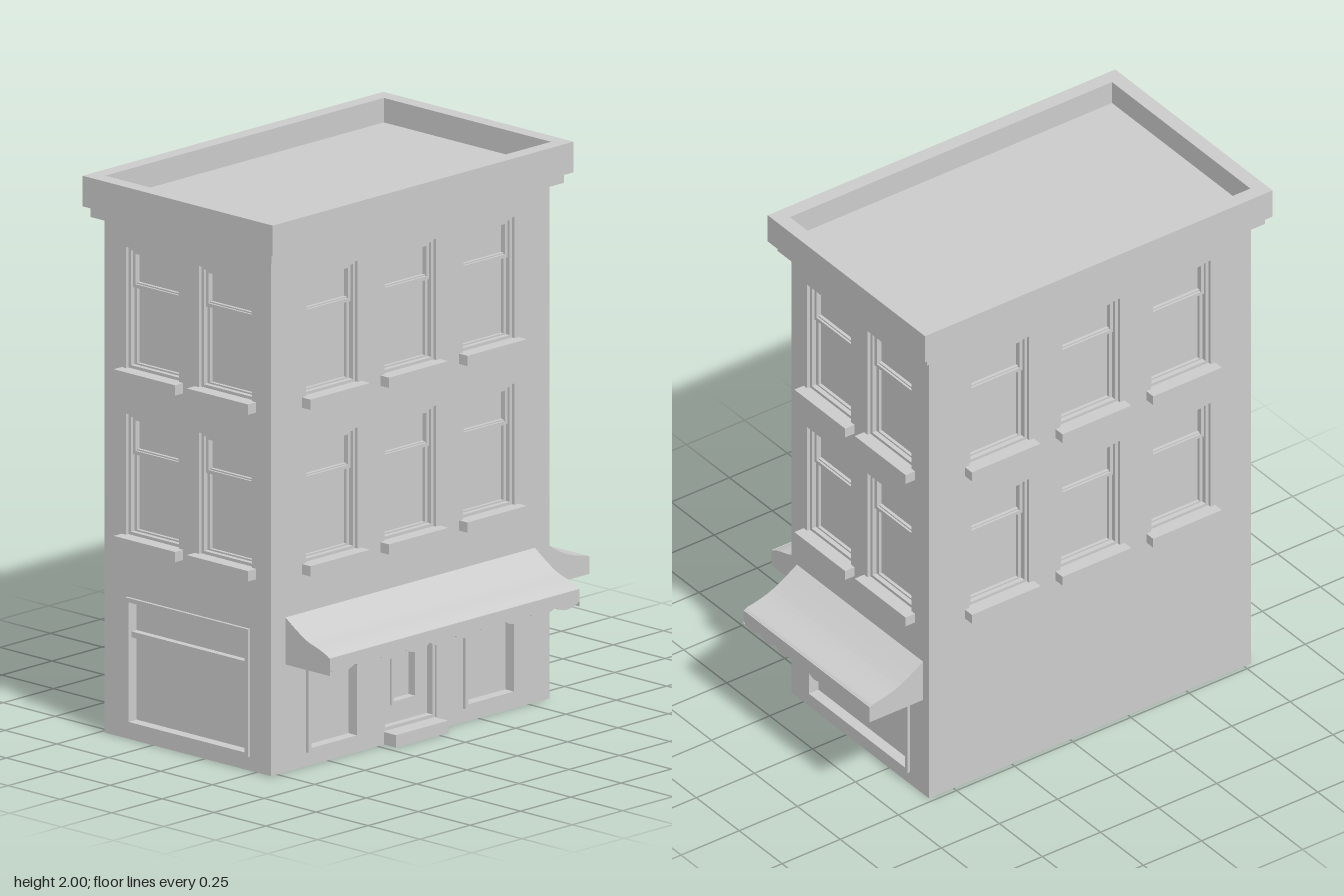
import * as THREE from 'three';

const mat = new THREE.MeshStandardMaterial({ color: 0xcccccc, side: THREE.DoubleSide });
const X0 = -0.483, X1 = 0.319, Z0 = -0.605, Z1 = 0.78, TOP = 1.86, DEEP = 0.06;

function add(parent, name, geo) {
  const m = new THREE.Mesh(geo, mat);
  m.name = name;
  parent.add(m);
  return m;
}

// box given by its limits on each axis
function block(parent, name, x0, x1, y0, y1, z0, z1) {
  const m = add(parent, name, new THREE.BoxGeometry(x1 - x0, y1 - y0, z1 - z0));
  m.position.set((x0 + x1) / 2, (y0 + y1) / 2, (z0 + z1) / 2);
  return m;
}

function rectPath(P, x0, x1, y0, y1) {
  const p = new P();
  p.moveTo(x0, y0); p.lineTo(x1, y0); p.lineTo(x1, y1); p.lineTo(x0, y1);
  p.closePath();
  return p;
}

// rectangular slab with rectangular holes, extruded from z0 to z1
function slab(x0, x1, y0, y1, z0, z1, holes) {
  const s = rectPath(THREE.Shape, x0, x1, y0, y1);
  holes.forEach(h => s.holes.push(rectPath(THREE.Path, ...h)));
  return new THREE.ExtrudeGeometry(s, { depth: z1 - z0, bevelEnabled: false }).translate(0, 0, z0);
}

function frame(parent, name, x0, x1, y0, y1, t, z0, z1) {
  add(parent, name, slab(x0, x1, y0, y1, z0, z1, [[x0 + t, x1 - t, y0 + t, y1 - t]]));
}

// sash window set into the wall, with a projecting sill
function sashWindow(wall, u, y) {
  const g = new THREE.Group();
  g.name = 'sashWindow';
  g.position.set(u, y, 0);
  wall.add(g);
  frame(g, 'casing', -0.128, 0.128, 0, 0.437, 0.012, -DEEP, -0.012);
  frame(g, 'upperSash', -0.116, 0.116, 0.29, 0.425, 0.013, -DEEP, -0.022);
  frame(g, 'lowerSash', -0.116, 0.116, 0.005, 0.308, 0.013, -DEEP, -0.03);
  block(g, 'glass', -0.115, 0.115, 0.005, 0.425, -DEEP, -0.042);
  block(g, 'sill', -0.148, 0.148, -0.036, 0.001, -0.05, 0.04);
}

// ground floor display window with a transom light
function shopWindow(wall, u, w) {
  const g = new THREE.Group();
  g.name = 'shopWindow';
  g.position.x = u;
  wall.add(g);
  const a = w / 2;
  frame(g, 'shopFrame', -a, a, 0.05, 0.51, 0.015, -DEEP, 0.011);
  block(g, 'transomBar', -a + 0.014, a - 0.014, 0.366, 0.387, -DEEP, -0.005);
  block(g, 'shopGlass', -a + 0.014, a - 0.014, 0.06, 0.5, -DEEP, -0.03);
}

// recessed entrance door with glazed panel and step
function door(wall, u) {
  const g = new THREE.Group();
  g.name = 'door';
  g.position.x = u;
  wall.add(g);
  frame(g, 'doorFrame', -0.13, 0.13, 0.045, 0.51, 0.012, -DEEP, -0.008);
  add(g, 'doorLeaf', slab(-0.118, 0.118, 0.055, 0.5, -DEEP, -0.035, [[-0.064, 0.064, 0.122, 0.45]]));
  frame(g, 'panelTrim', -0.064, 0.064, 0.122, 0.45, 0.012, -DEEP, -0.028);
  block(g, 'step', -0.13, 0.13, 0, 0.045, -0.01, 0.057);
}

// awning: curved canopy, two cheeks and a scalloped valance
function awning(wall, u, width, reach, bottom, scallops) {
  const g = new THREE.Group();
  g.name = 'awning';
  g.position.x = u;
  wall.add(g);
  const a = width / 2, lip = bottom + 0.063, t = 0.006;
  const curve = new THREE.CatmullRomCurve3([
    [0, 0.556], [reach * 0.25, 0.52], [reach * 0.5, 0.49], [reach * 0.78, 0.471], [reach * 0.95, lip + 0.005], [reach, lip - 0.004],
  ].map(p => new THREE.Vector3(p[0], p[1], 0))).getPoints(16).map(p => new THREE.Vector2(p.x, p.y));

  const under = curve.map(p => new THREE.Vector2(p.x, p.y - t)).reverse();
  const canopy = new THREE.ExtrudeGeometry(new THREE.Shape([...curve, ...under]), { depth: width, bevelEnabled: false });
  add(g, 'canopy', canopy.rotateY(-Math.PI / 2).translate(a, 0, 0));

  const cheek = new THREE.Shape([...curve, new THREE.Vector2(reach, bottom), new THREE.Vector2(0, bottom)]);
  for (const s of [-1, 1]) {
    add(g, 'cheek', new THREE.ShapeGeometry(cheek).rotateY(-Math.PI / 2).translate(s * a, 0, 0));
  }

  const v = new THREE.Shape();
  const step = width / scallops;
  v.moveTo(a, lip);
  v.lineTo(-a, lip);
  v.lineTo(-a, bottom + 0.02);
  for (let i = 0; i < scallops; i++) {
    const x = -a + i * step;
    v.quadraticCurveTo(x + step / 2, bottom - 0.018, x + step, bottom + 0.02);
  }
  v.closePath();
  const valance = new THREE.ExtrudeGeometry(v, { depth: t, bevelEnabled: false, curveSegments: 8 });
  add(g, 'valance', valance.translate(0, 0, reach - t));
}

// wall panel pierced by its openings; local x runs along it, local z points outward
function makeWall(parent, name, angle, x, z, u0, u1, cols, shops, doors) {
  const g = new THREE.Group();
  g.name = name;
  g.rotation.y = angle;
  g.position.set(x, 0, z);
  parent.add(g);
  const holes = [];
  for (const u of cols) {
    for (const y of [0.73, 1.329]) {
      holes.push([u - 0.128, u + 0.128, y, y + 0.437]);
      sashWindow(g, u, y);
    }
  }
  for (const [u, w] of shops) {
    holes.push([u - w / 2, u + w / 2, 0.05, 0.51]);
    shopWindow(g, u, w);
  }
  for (const u of doors) {
    holes.push([u - 0.13, u + 0.13, 0.045, 0.51]);
    door(g, u);
  }
  add(g, 'wallPanel', slab(u0, u1, 0, TOP, -DEEP, 0, holes));
  return g;
}

export function createModel() {
  const model = new THREE.Group();
  model.name = 'shopBuilding';

  block(model, 'core', X0 + DEEP, X1 - DEEP, 0, TOP, Z0 + DEEP, Z1 - DEEP);

  // walls
  const sideCols = [0.477, 0.087, -0.303];
  const frontCols = [-0.252, 0.1];
  const neg = list => list.map(n => -n);
  makeWall(model, 'frontWall', 0, 0, Z1, X0, X1, frontCols, [[-0.077, 0.59]], []);
  const back = makeWall(model, 'backWall', Math.PI, 0, Z0, -X1, -X0, neg(frontCols), [[0.077, 0.59]], []);
  const right = makeWall(model, 'entranceWall', Math.PI / 2, X1, 0, -Z1 + DEEP, -Z0 - DEEP,
    neg(sideCols), [[-0.477, 0.256], [0.303, 0.256]], [-0.087]);
  makeWall(model, 'plainWall', -Math.PI / 2, X0, 0, Z0 + DEEP, Z1 - DEEP, sideCols, [], []);

  // awnings
  awning(right, -0.088, 1.24, 0.215, 0.387, 10);
  awning(back, 0.08, 0.735, 0.23, 0.395, 8);

  // cornice, parapet and sunken roof
  block(model, 'corniceBand', -0.517, 0.354, 1.853, 1.892, -0.64, 0.814);
  const parapet = slab(-0.54, 0.376, -0.83, 0.665, 1.89, 2, [[-0.485, 0.321, -0.775, 0.61]]);
  add(model, 'parapet', parapet.rotateX(-Math.PI / 2));
  block(model, 'roof', -0.487, 0.323, 1.88, 1.912, -0.612, 0.777);

  return model;
}
